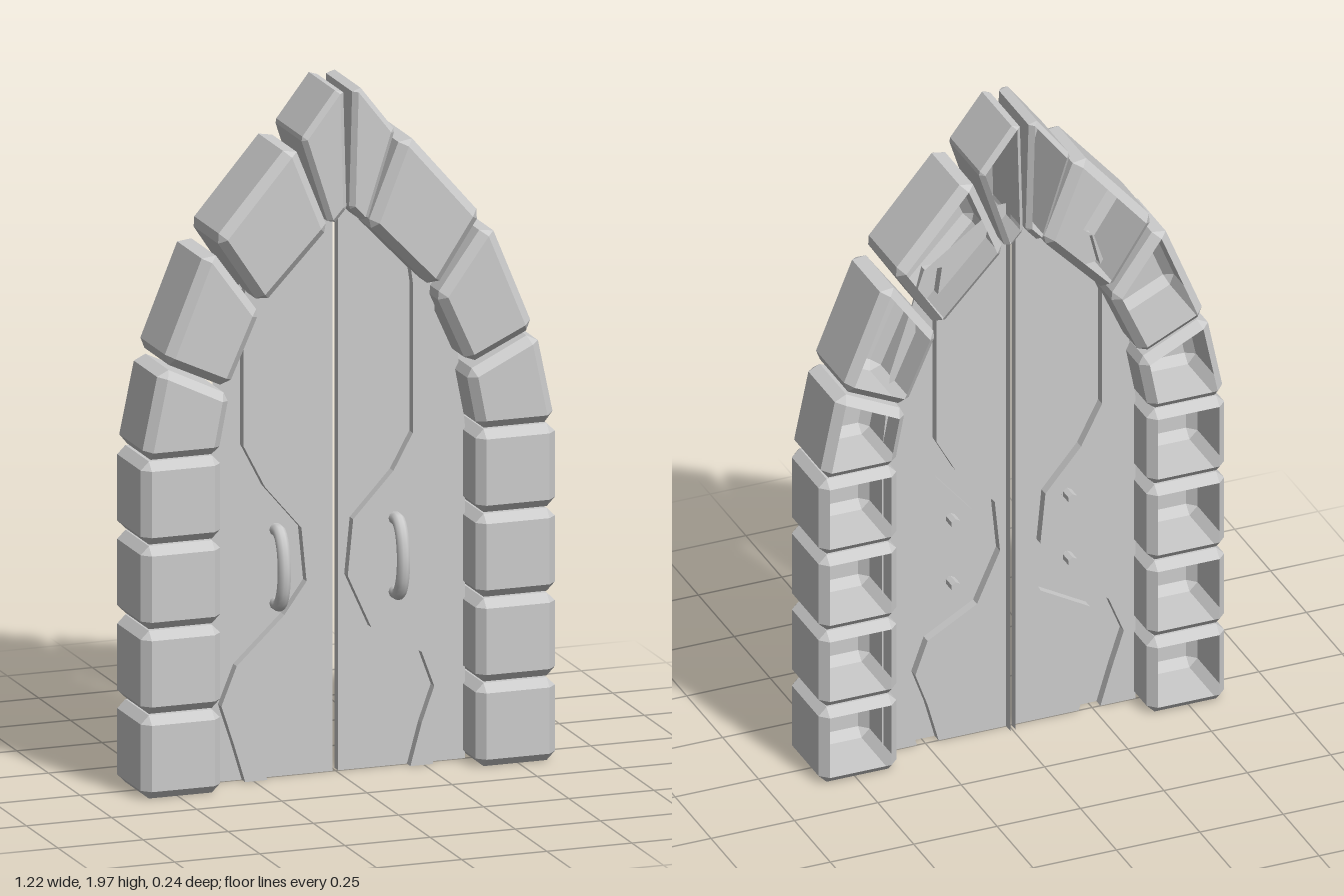
import * as THREE from 'three';

const stone = new THREE.MeshStandardMaterial({ color: 0xcccccc, flatShading: true, side: THREE.DoubleSide });
const smooth = new THREE.MeshStandardMaterial({ color: 0xcccccc, side: THREE.DoubleSide });

// Mesh from rows of points; closed rows wrap round, cap fills the last row
function loft(rows, { closed = false, cap = false, flip = false } = {}) {
  const pos = [];
  const tri = (a, b, c) => {
    const ab = b.clone().sub(a), ac = c.clone().sub(a);
    if (ab.cross(ac).length() < 1e-9) return;
    (flip ? [a, c, b] : [a, b, c]).forEach((p) => pos.push(p.x, p.y, p.z));
  };
  const n = rows[0].length;
  for (let r = 0; r < rows.length - 1; r++) {
    for (let i = 0; i < (closed ? n : n - 1); i++) {
      const j = (i + 1) % n, lo = rows[r], hi = rows[r + 1];
      tri(lo[i], lo[j], hi[j]);
      tri(lo[i], hi[j], hi[i]);
    }
  }
  const last = rows[rows.length - 1];
  if (cap) for (let i = 1; i < n - 1; i++) tri(last[0], last[i], last[i + 1]);
  const g = new THREE.BufferGeometry();
  g.setAttribute('position', new THREE.Float32BufferAttribute(pos, 3));
  g.computeVertexNormals();
  return g;
}

// Chamfered hollow block, open at the back; corners run counter-clockwise
function blockGeometry(corners, back, front, side, b = 0.024) {
  const q = corners.map(([x, y]) => new THREE.Vector2(x, y));
  const normals = q.map((p, i) => {
    const d = q[(i + 1) % 4].clone().sub(p).normalize();
    return new THREE.Vector2(d.y, -d.x);
  });
  const inset = [], full = [];
  q.forEach((p, i) => {
    const n0 = normals[(i + 3) % 4], n1 = normals[i];
    const c = p.clone().addScaledVector(n0.clone().add(n1), -b / (1 + n0.dot(n1)));
    inset.push(c, c);
    full.push(c.clone().addScaledVector(n0, b), c.clone().addScaledVector(n1, b));
  });
  const ring = (pts, z) => pts.map((p) => new THREE.Vector3(side * p.x, p.y, z));
  return loft(
    [ring(inset, back), ring(full, back + b), ring(full, front - b), ring(inset, front)],
    { closed: true, cap: true, flip: side < 0 });
}

// Arch stones: inner bottom, outer bottom, outer top, inner top
const archStones = [
  [[0.38, 0.965], [0.608, 0.965], [0.553, 1.23], [0.348, 1.13]],
  [[0.352, 1.15], [0.545, 1.24], [0.412, 1.565], [0.26, 1.355]],
  [[0.254, 1.372], [0.39, 1.578], [0.164, 1.84], [0.058, 1.577]],
  [[0.053, 1.575], [0.138, 1.84], [0.014, 2.0], [0.004, 1.63]],
];

// Door rows: inner x, inner y, outer x, outer y of the raised band, then door edge x
const bandRows = [
  [0.21, 0, 0.275, 0, 0.38],
  [0.243, 0.12, 0.31, 0.116, 0.38],
  [0.28, 0.222, 0.345, 0.222, 0.38],
  [0.243, 0.323, 0.3, 0.333, 0.38],
  [0.095, 0.407, 0.16, 0.466, 0.38],
  [0.026, 0.56, 0.095, 0.556, 0.38],
  [0.042, 0.72, 0.11, 0.71, 0.38],
  [0.16, 0.847, 0.217, 0.836, 0.38],
  [0.217, 0.95, 0.28, 0.958, 0.38],
  [0.217, 1.2, 0.28, 1.2, 0.355],
  [0.217, 1.38, 0.28, 1.38, 0.295],
  [0.2, 1.5, 0.25, 1.5, 0.255],
];

function doorGeometry(side) {
  const seam = 0.008, base = 0, raise = 0.028;
  const section = ([xi, yi, xo, yo, xe], h) => {
    const y = (yi + yo) / 2;
    return [[seam, y, base - 0.03], [seam, y, base], [xi, yi, base], [xi, yi, base + h],
      [xo, yo, base + h], [xo, yo, base], [xe, y, base]]
      .map(([x, yy, z]) => new THREE.Vector3(side * x, yy, z));
  };
  const rows = bandRows.map((r) => section(r, raise));
  // Close the band, then run the flat panel up to the point
  rows.push(section(bandRows[bandRows.length - 1], 0));
  rows.push(section([0.02, 1.66, 0.03, 1.66, 0.03], 0));
  return loft(rows, { flip: side < 0 });
}

// Bowed pull handle with pegs that pass through the door
function makeHandle(side) {
  const handle = new THREE.Group();
  const x = side * 0.175;
  const path = new THREE.CatmullRomCurve3(
    [[0.495, 0], [0.497, 0.03], [0.53, 0.055], [0.6, 0.068], [0.67, 0.055], [0.703, 0.03], [0.705, 0]]
      .map(([y, z]) => new THREE.Vector3(x, y, z)));
  const grip = new THREE.Mesh(new THREE.TubeGeometry(path, 20, 0.019, 10), smooth);
  grip.name = 'handleGrip';
  handle.add(grip);
  for (const y of [0.5, 0.7]) {
    const peg = new THREE.Mesh(new THREE.CylinderGeometry(0.015, 0.015, 0.05, 6), stone);
    peg.rotation.x = Math.PI / 2;
    peg.position.set(x, y, -0.015);
    peg.name = 'handlePeg';
    handle.add(peg);
  }
  return handle;
}

export function createModel() {
  const model = new THREE.Group();
  model.name = 'archedDoorway';
  for (const side of [1, -1]) {
    const label = side > 0 ? 'left' : 'right';
    const add = (geometry, name) => {
      const m = new THREE.Mesh(geometry, stone);
      m.name = label + name;
      model.add(m);
    };
    // Straight column
    for (let i = 0; i < 4; i++) {
      const y0 = i * 0.2415, y1 = y0 + 0.237;
      add(blockGeometry([[0.375, y0], [0.608, y0], [0.608, y1], [0.375, y1]], -0.112, 0.122, side), 'ColumnStone' + (i + 1));
    }
    // Pointed arch
    archStones.forEach((c, i) => {
      const key = i === 3;
      add(blockGeometry(c, i ? -0.122 : -0.112, key ? 0.112 : 0.12, side, key ? 0.014 : 0.024),
        key ? 'KeyStone' : 'ArchStone' + (i + 1));
    });
    add(doorGeometry(side), 'Door');
    const handle = makeHandle(side);
    handle.name = label + 'Handle';
    model.add(handle);
  }
  return model;
}
